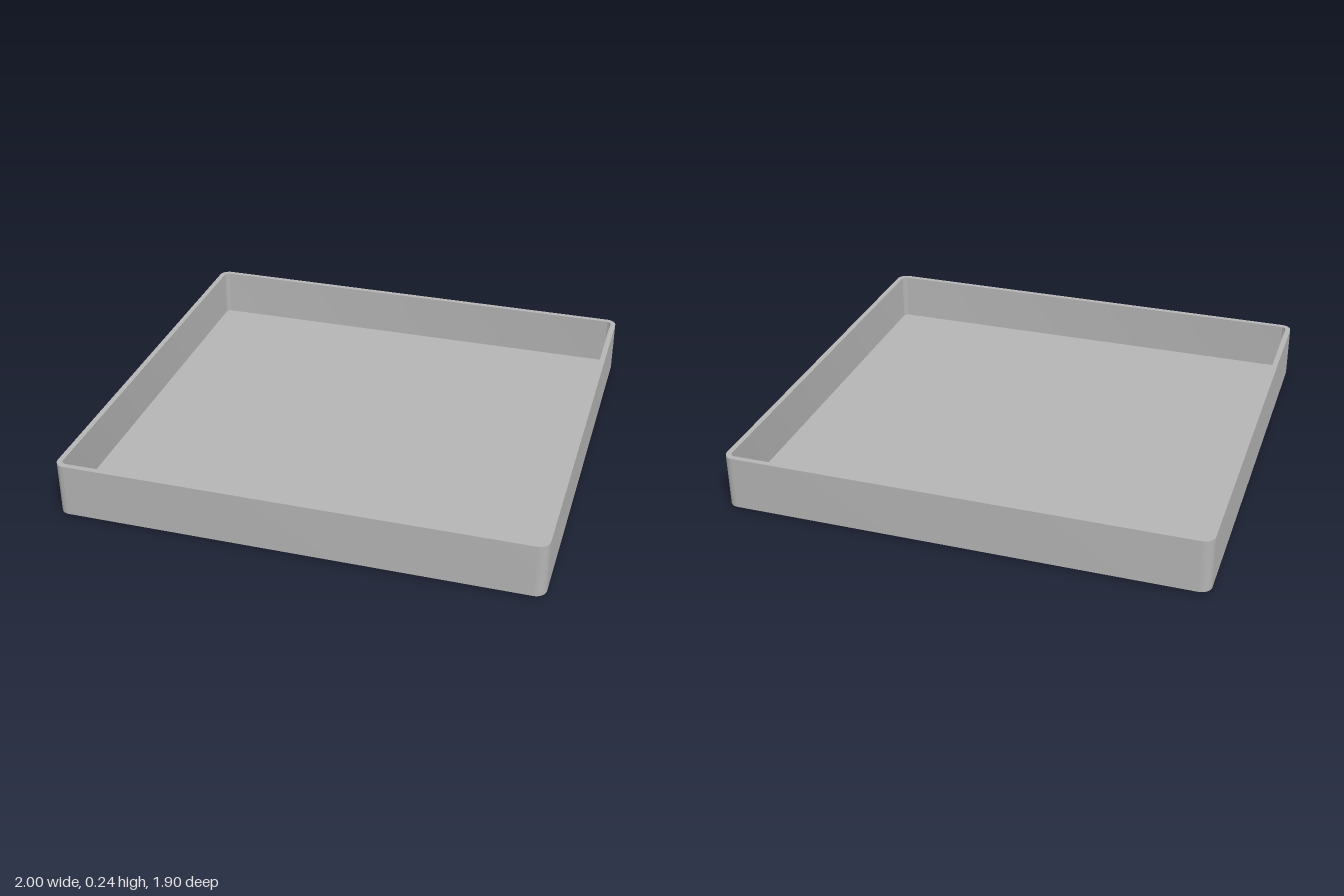
import * as THREE from 'three';
import { toCreasedNormals } from 'three/addons/utils/BufferGeometryUtils.js';

const BASE = 0.012;   // underside of the tray, lifted by the ribs
const TOP = 0.24;
const FLOOR = 0.02;
const WALL = 0.023;

// Rounded rectangle centred on the origin
function roundedRect(Kind, w, d, r) {
  const s = new Kind(), x = w / 2, y = d / 2;
  s.moveTo(-x + r, -y);
  s.lineTo(x - r, -y);
  s.absarc(x - r, -y + r, r, -Math.PI / 2, 0, false);
  s.lineTo(x, y - r);
  s.absarc(x - r, y - r, r, 0, Math.PI / 2, false);
  s.lineTo(-x + r, y);
  s.absarc(-x + r, y - r, r, Math.PI / 2, Math.PI, false);
  s.lineTo(-x, -y + r);
  s.absarc(-x + r, -y + r, r, Math.PI, Math.PI * 1.5, false);
  return s;
}

// Upright slab from an outline, with smooth rounded corners
function slab(name, shape, y, height, material) {
  const raw = new THREE.ExtrudeGeometry(shape, { depth: height, bevelEnabled: false, curveSegments: 12 });
  raw.rotateX(-Math.PI / 2);
  const mesh = new THREE.Mesh(toCreasedNormals(raw, Math.PI / 6), material);
  mesh.name = name;
  mesh.position.y = y;
  return mesh;
}

export function createModel() {
  const tray = new THREE.Group();
  tray.name = 'tray';
  const grey = new THREE.MeshStandardMaterial({ color: 0xb4b4b4 });
  grey.name = 'grey plastic';

  // Thin wall running round the tray
  const innerW = 2 - 2 * WALL, innerD = 1.9 - 2 * WALL;
  const rim = roundedRect(THREE.Shape, 2, 1.9, 0.045);
  rim.holes.push(roundedRect(THREE.Path, innerW, innerD, 0.022));
  tray.add(slab('wall', rim, BASE, TOP - BASE, grey));

  // Floor set inside the wall
  tray.add(slab('floor', roundedRect(THREE.Shape, innerW, innerD, 0.022), BASE, FLOOR, grey));

  // Four long round-ended ribs underneath
  for (const z of [-0.695, -0.232, 0.232, 0.695]) {
    const rib = slab('footRib', roundedRect(THREE.Shape, 1.65, 0.118, 0.0589), 0, BASE, grey);
    rib.position.z = z;
    tray.add(rib);
  }
  return tray;
}
